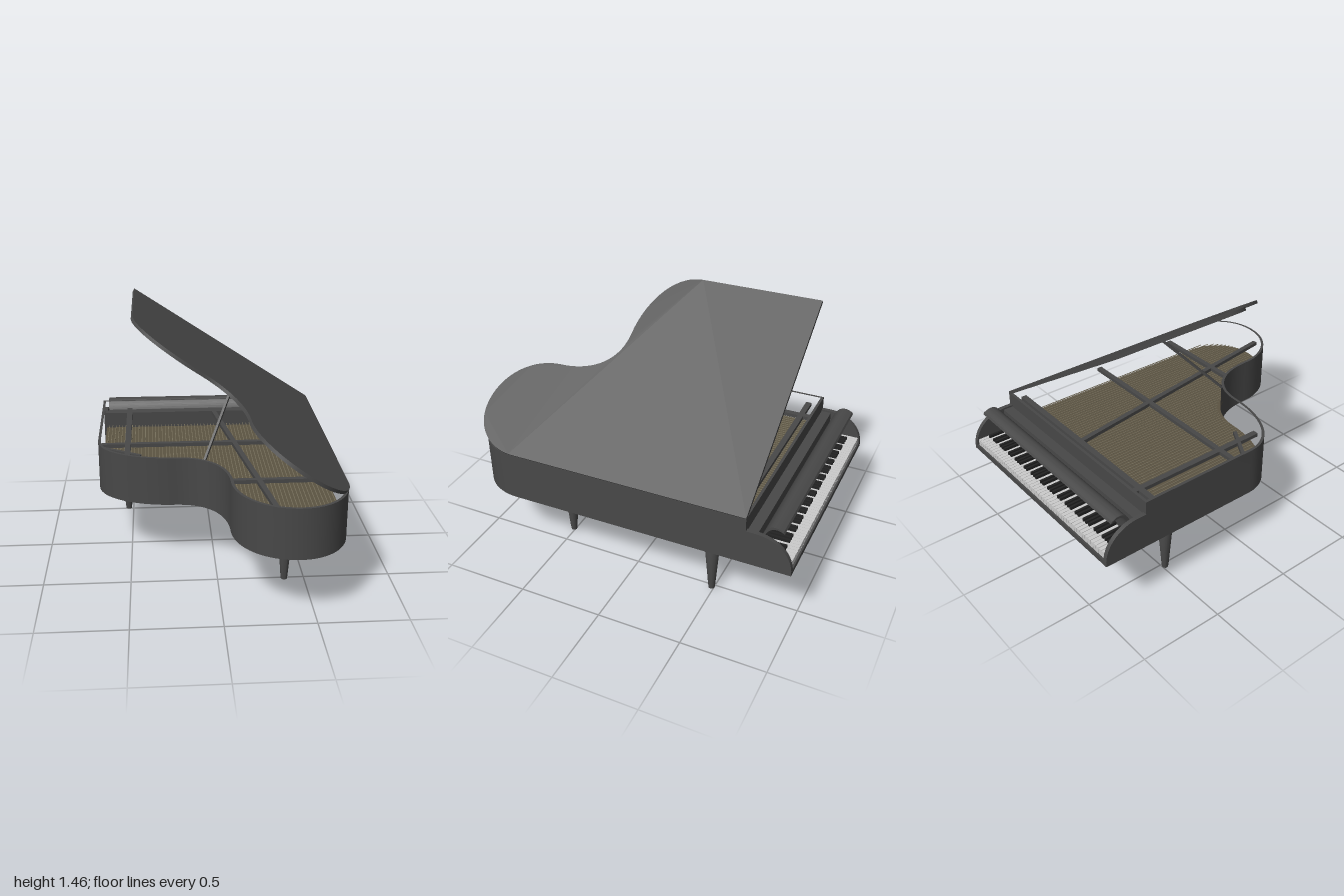
import * as THREE from 'three';
import { mergeGeometries, toCreasedNormals } from 'three/addons/utils/BufferGeometryUtils.js';

const mat = (color) => new THREE.MeshStandardMaterial({ color });
const ebony = mat(0x484848), ivory = mat(0xcccccc), dark = mat(0x222222);
const wood = mat(0x5c5442), brass = mat(0xb39b55), steel = mat(0x77705c);

function add(parent, name, geometry, material = ebony) {
  const mesh = new THREE.Mesh(geometry, material);
  mesh.name = name;
  parent.add(mesh);
  return mesh;
}

// Box given by its min and max corners
function box(x0, x1, y0, y1, z0, z1) {
  return new THREE.BoxGeometry(x1 - x0, y1 - y0, z1 - z0)
    .translate((x0 + x1) / 2, (y0 + y1) / 2, (z0 + z1) / 2);
}

// Horizontal slab from a plan shape (shape y becomes z)
function slab(shape, bottom, top) {
  const g = new THREE.ExtrudeGeometry(shape, { depth: top - bottom, bevelEnabled: false });
  return toCreasedNormals(g.rotateX(Math.PI / 2).translate(0, top, 0), 0.5);
}

// Side profile (shape x becomes -z) swept across x
function sweepX(shape, x0, x1) {
  const g = new THREE.ExtrudeGeometry(shape, { depth: x1 - x0, bevelEnabled: false, curveSegments: 16 });
  return toCreasedNormals(g.rotateY(Math.PI / 2).translate(x0, 0, 0), 0.5);
}

// Straight bar between two points
function bar(a, b, w, h) {
  const from = new THREE.Vector3(...a), to = new THREE.Vector3(...b);
  const g = new THREE.BoxGeometry(w, h, from.distanceTo(to));
  const m = new THREE.Matrix4().lookAt(to, from, new THREE.Vector3(0, 1, 0));
  return g.applyMatrix4(m.setPosition(from.add(to).multiplyScalar(0.5)));
}

// Plan outline: straight spine on +x, bent side on -x, round tail at +z
function outlinePoints() {
  const s = new THREE.Shape();
  s.moveTo(-0.685, -0.74);
  s.lineTo(-0.685, 0);
  s.bezierCurveTo(-0.685, 0.2, -0.44, 0.3, -0.24, 0.3);
  s.bezierCurveTo(-0.02, 0.3, 0.06, 0.47, 0.06, 0.65);
  s.bezierCurveTo(0.06, 0.84, 0.2, 1, 0.4, 1);
  s.bezierCurveTo(0.57, 1, 0.685, 0.86, 0.685, 0.7);
  s.lineTo(0.685, -0.74);
  return s.getPoints(20);
}

// Mitred inward offset of a closed clockwise outline
function inset(points, d) {
  const n = points.length;
  return points.map((p, i) => {
    const a = p.clone().sub(points[(i + n - 1) % n]).normalize();
    const b = points[(i + 1) % n].clone().sub(p).normalize();
    const na = new THREE.Vector2(a.y, -a.x), nb = new THREE.Vector2(b.y, -b.x);
    const m = na.clone().add(nb).normalize();
    return p.clone().addScaledVector(m, d / m.dot(na));
  });
}

// z range of the outline at a given x
function zEnd(points, x) {
  let z = -0.74;
  for (let i = 1; i < points.length; i++) {
    const a = points[i - 1], b = points[i];
    if ((a.x - x) * (b.x - x) <= 0 && a.x !== b.x) {
      z = Math.max(z, a.y + (b.y - a.y) * (x - a.x) / (b.x - a.x));
    }
  }
  return z;
}

export function createModel() {
  const model = new THREE.Group();
  model.name = 'grandPiano';
  const body = new THREE.Group();
  body.name = 'body';
  body.rotation.x = 0.01;
  model.add(body);

  // Case: rim wall, floor and soundboard
  const outer = outlinePoints(), inner = inset(outer, 0.016);
  const rim = new THREE.Shape(outer);
  rim.holes.push(new THREE.Path(inner));
  add(body, 'rim', slab(rim, 0.395, 0.688));
  add(body, 'caseFloor', slab(new THREE.Shape(inner), 0.396, 0.41));
  add(body, 'soundboard', slab(new THREE.Shape(inner), 0.49, 0.5), wood);

  // Strings follow the length of the case
  const strings = [];
  for (let i = 0; i < 60; i++) {
    const x = -0.65 + i * 1.3 / 59;
    strings.push(box(x - 0.002, x + 0.002, 0.518, 0.522, -0.7, zEnd(inner, x) - 0.03));
  }
  add(body, 'strings', mergeGeometries(strings), steel);

  // Frame braces inside the case
  const y = 0.625;
  [
    [[-0.67, y, -0.65], [0.67, y, -0.65], 0.035],
    [[-0.67, y, -0.08], [0.67, y, -0.08], 0.03],
    [[0.055, y, 0.5], [0.67, y, 0.5], 0.03],
    [[-0.51, y, -0.73], [-0.51, y, 0.2], 0.035],
    [[0.05, y, -0.65], [0.3, y, 0.96], 0.03],
    [[-0.67, y, -0.03], [-0.43, y, 0.11], 0.02],
  ].forEach(([a, b, w]) => add(body, 'brace', bar(a, b, w, 0.022)));

  // Lid, hinged along the spine and propped open
  const hinge = new THREE.Group();
  hinge.name = 'lid';
  hinge.position.set(0.675, 0.68, 0);
  hinge.rotation.z = -0.583;
  body.add(hinge);
  add(hinge, 'lidPanel', slab(new THREE.Shape(outer), 0, 0.02).translate(-0.683, 0, 0));
  add(body, 'lidProp', bar([-0.065, 0.68, 0.33], [0.13, 1.045, 0.0], 0.014, 0.014));

  // Keyboard bed and curved cheeks
  add(body, 'keyBed', box(-0.685, 0.685, 0.395, 0.425, -1, -0.735));
  const cheek = new THREE.Shape();
  cheek.moveTo(0.735, 0.395);
  cheek.lineTo(1, 0.395);
  cheek.lineTo(1, 0.43);
  cheek.bezierCurveTo(0.99, 0.54, 0.9, 0.61, 0.79, 0.61);
  cheek.lineTo(0.735, 0.61);
  for (const x of [-0.685, 0.66]) add(body, 'cheek', sweepX(cheek, x, x + 0.025));
  add(body, 'keyShelf', box(-0.66, 0.66, 0.47, 0.6, -0.8, -0.735));

  // Fallboard: thin curled strip above the keys
  const curl = new THREE.SplineCurve([[0.798, 0.475], [0.81, 0.56], [0.835, 0.62], [0.865, 0.65],
    [0.9, 0.655], [0.935, 0.642]].map((p) => new THREE.Vector2(...p))).getPoints(24);
  const back = curl.map((p) => new THREE.Vector2(p.x + 0.007, p.y - 0.013)).reverse();
  add(body, 'fallboard', sweepX(new THREE.Shape([...curl, ...back]), -0.655, 0.65));

  // Keys: 52 white, with black keys in the two-three pattern
  const white = [], black = [], pitch = 1.31 / 52;
  for (let i = 0; i < 52; i++) {
    const x = 0.655 - i * pitch;
    white.push(box(x - pitch + 0.0012, x - 0.0012, 0.426, 0.465, -0.99, -0.8));
    if (i < 51 && ![1, 4].includes(i % 7)) {
      black.push(box(x - pitch - 0.007, x - pitch + 0.007, 0.46, 0.482, -0.93, -0.8));
    }
  }
  add(body, 'whiteKeys', mergeGeometries(white), ivory);
  add(body, 'blackKeys', mergeGeometries(black), dark);

  // Turned legs
  const profile = [[0, 0.006], [0.018, 0.006], [0.021, 0.03], [0.04, 0.27], [0.024, 0.345],
    [0.024, 0.358], [0.036, 0.368], [0.036, 0.397]].map((p) => new THREE.Vector2(...p));
  const legGeometry = toCreasedNormals(new THREE.LatheGeometry(profile, 16), 0.5);
  for (const [x, z] of [[-0.53, -0.49], [0.53, -0.49], [0.385, 0.51]]) {
    add(body, 'leg', legGeometry).position.set(x, 0, z);
  }

  // Pedal lyre
  const lyre = new THREE.Group();
  lyre.name = 'pedalLyre';
  body.add(lyre);
  add(lyre, 'pedalBase', box(-0.092, 0.032, 0.035, 0.052, -0.71, -0.597));
  for (const x of [-0.066, -0.03, 0.006]) {
    add(lyre, 'lyreRod', new THREE.CylinderGeometry(0.007, 0.007, 0.355, 10).translate(x, 0.222, -0.608));
    add(lyre, 'pedal', box(x - 0.013, x + 0.013, 0.06, 0.067, -0.73, -0.605), brass);
  }
  return model;
}
